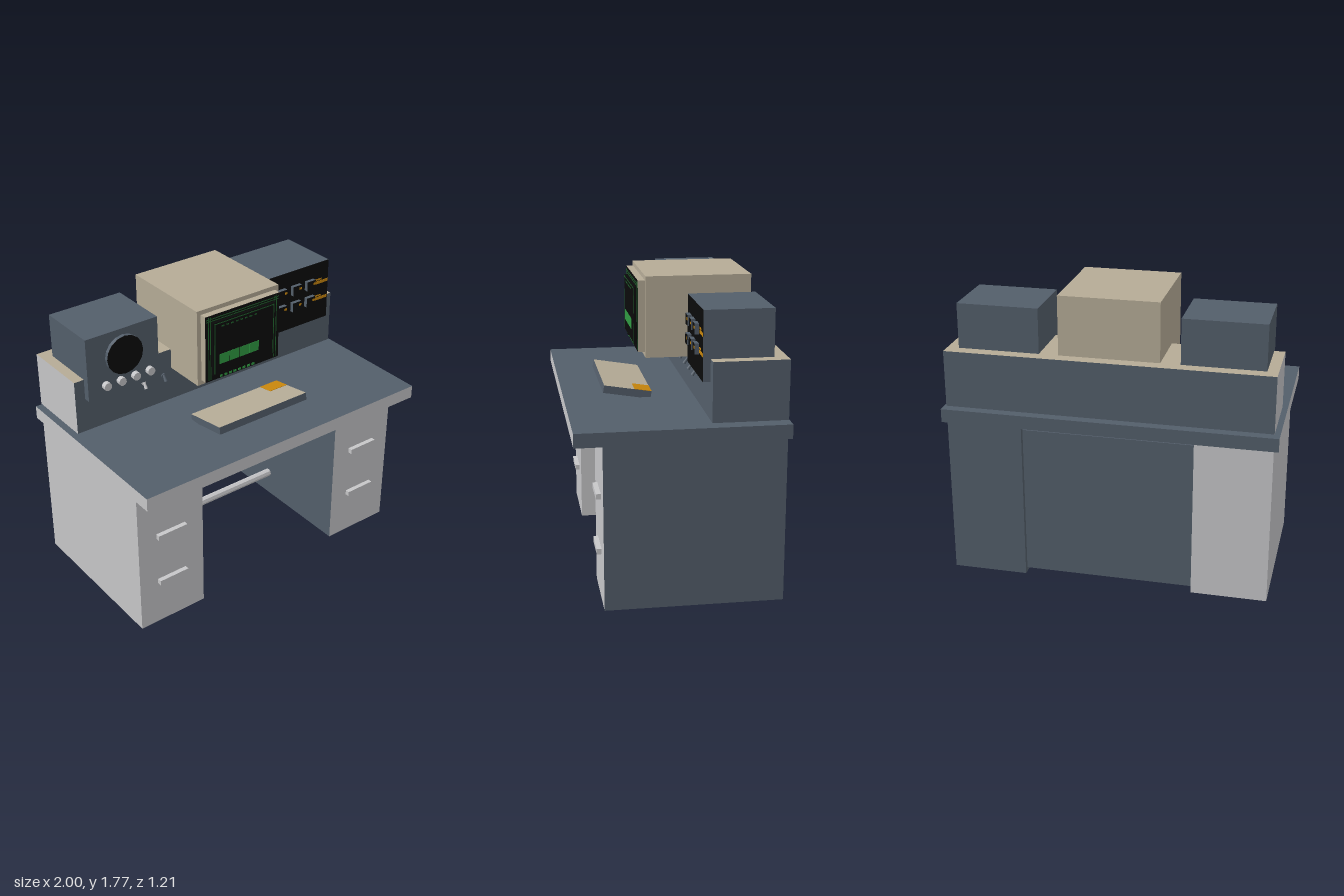
import * as THREE from 'three';

const mat = (name, color) => {
  const m = new THREE.MeshStandardMaterial({ color });
  m.name = name;
  return m;
};

export function createModel() {
  const slate = mat('slate', 0x535e6a);
  const grey = mat('lightGrey', 0xc6c6c8);
  const beige = mat('beige', 0xb5ab96);
  const black = mat('black', 0x0a0a0a);
  const green = mat('green', 0x2f9a42);
  const darkGreen = mat('darkGreen', 0x1c5a28);
  const amber = mat('amber', 0xc8860c);

  const root = new THREE.Group();
  root.name = 'controlDesk';

  const add = (name, geo, material, parent = root) => {
    const m = new THREE.Mesh(geo, material);
    m.name = name;
    parent.add(m);
    return m;
  };
  // Box given by its limits on each axis
  const box = (name, [x0, x1], [y0, y1], [z0, z1], material, parent = root) => {
    const m = add(name, new THREE.BoxGeometry(x1 - x0, y1 - y0, z1 - z0), material, parent);
    m.position.set((x0 + x1) / 2, (y0 + y1) / 2, (z0 + z1) / 2);
    return m;
  };
  // Thin painted rectangle facing the front
  const plate = (name, x, y, w, h, z, material, parent = root) =>
    box(name, [x - w / 2, x + w / 2], [y - h / 2, y + h / 2], [z, z + 0.002], material, parent);
  // Flat-sided disc facing the front
  const disc = (name, x, y, z0, z1, r, sides, material, parent = root) => {
    const g = new THREE.CylinderGeometry(r, r, z1 - z0, sides).toNonIndexed();
    g.computeVertexNormals();
    g.rotateX(Math.PI / 2);
    const m = add(name, g, material, parent);
    m.position.set(x, y, (z0 + z1) / 2);
    return m;
  };
  // Face order: +x, -x, +y, -y, +z, -z
  const blackFront = (side) => [side, side, side, side, black, side];

  // Desk
  box('countertop', [-1, 1], [0.976, 1.058], [-0.605, 0.605], [slate, grey, slate, slate, grey, slate]);
  box('rightPedestal', [-0.97, -0.515], [0, 0.976], [-0.585, 0.445], grey);
  box('leftPedestal', [0.515, 0.97], [0, 0.976], [-0.585, 0.445], blackFront(slate).map((m) => (m === black ? grey : m)));
  box('modestyPanel', [-0.515, 0.515], [0.025, 0.95], [-0.58 + 0.025, -0.525], slate);
  for (const x of [-0.745, 0.74])
    for (const y of [0.305, 0.635])
      box('drawerHandle', [x - 0.1, x + 0.1], [y - 0.016, y + 0.016], [0.445, 0.473], grey);

  // Foot rail
  const railGeo = new THREE.CylinderGeometry(0.026, 0.026, 1.03, 8).toNonIndexed();
  railGeo.computeVertexNormals();
  railGeo.rotateZ(Math.PI / 2);
  add('footRail', railGeo, grey).position.set(0, 0.163, -0.2);

  // Raised console along the back
  box('rearConsole', [-0.97, 0.97], [1.076, 1.418], [-0.587, -0.158], [slate, grey, beige, slate, slate, slate]);

  // Toggle switches, levers hanging down
  for (let i = 0; i < 8; i++) {
    const toggle = new THREE.Group();
    toggle.name = 'toggleSwitch';
    toggle.position.set(-0.503 + i * 0.1428, 1.25, -0.158);
    root.add(toggle);
    const material = i === 0 ? grey : slate;
    disc('toggleCollar', 0, 0.008, 0, 0.008, 0.015, 8, material, toggle);
    const lever = add('toggleLever', new THREE.CylinderGeometry(0.007, 0.011, 0.046, 8), material, toggle);
    lever.position.set(0, -0.003, 0.016);
    lever.rotation.x = Math.PI - 0.0;
    lever.rotation.x = -0.6;
  }

  // Scope unit
  const scope = new THREE.Group();
  scope.name = 'scopeUnit';
  root.add(scope);
  box('scopeCase', [-0.905, -0.418], [1.29, 1.69], [-0.512, -0.115], slate, scope);
  disc('scopeRim', -0.66, 1.53, -0.115, -0.092, 0.122, 16, slate, scope);
  disc('scopeScreen', -0.66, 1.53, -0.092, -0.09, 0.122, 16, black, scope);
  for (let i = 0; i < 4; i++)
    disc('scopeKnob', -0.788 + i * 0.1, 1.362, -0.115, -0.085, 0.026, 10, grey, scope);

  // Button unit
  const panel = new THREE.Group();
  panel.name = 'buttonUnit';
  root.add(panel);
  box('buttonCase', [0.413, 0.9], [1.29, 1.69], [-0.512, -0.115], blackFront(slate), panel);
  for (const y of [1.56, 1.447]) {
    for (const x of [0.51, 0.627, 0.742]) {
      box('pushButton', [x - 0.034, x + 0.034], [y - 0.031, y + 0.031], [-0.115, -0.09], blackFront(slate), panel);
      plate('buttonLamp', x + 0.024, y + 0.008, 0.018, 0.014, -0.09, amber, panel);
    }
    plate('amberReadout', 0.845, y - 0.008, 0.104, 0.02, -0.115, amber, panel);
    plate('amberReadoutTick', 0.82, y + 0.012, 0.05, 0.01, -0.115, amber, panel);
  }

  // Monitor
  const monitor = new THREE.Group();
  monitor.name = 'monitor';
  root.add(monitor);
  box('monitorCase', [-0.3, 0.297], [1.29, 1.775], [-0.512, 0.115], beige, monitor);
  box('monitorBezel', [-0.273, 0.271], [1.32, 1.748], [0.115, 0.157], blackFront(beige), monitor);
  box('monitorScreen', [-0.23, 0.228], [1.36, 1.703], [0.157, 0.175], black, monitor);
  // Screen border lines
  for (const x of [-0.25, -0.236, 0.236, 0.25])
    plate('borderLineUpright', x, 1.533, 0.005, 0.41, 0.157, darkGreen, monitor);
  for (const y of [1.711, 1.725])
    plate('borderLineAcross', 0, y, 0.53, 0.005, 0.157, darkGreen, monitor);
  for (const x of [-0.218, 0.216])
    plate('innerLineUpright', x, 1.533, 0.005, 0.33, 0.175, darkGreen, monitor);
  plate('innerLineAcross', 0, 1.693, 0.44, 0.005, 0.175, darkGreen, monitor);
  // Screen blocks and dashes
  for (let i = 0; i < 4; i++)
    plate('greenBlock', -0.151 + i * 0.0735, 1.458, 0.071, 0.064, 0.175, green, monitor);
  for (let i = 0; i < 8; i++) {
    plate('upperDash', -0.16 + i * 0.034, 1.67, 0.018, 0.008, 0.175, darkGreen, monitor);
    plate('lowerDash', -0.16 + i * 0.034, 1.332, 0.02, 0.014, 0.157, green, monitor);
  }

  // Keyboard, raised at the front edge
  const keyboard = new THREE.Group();
  keyboard.name = 'keyboard';
  keyboard.position.set(0, 1.093, 0.229);
  keyboard.rotation.x = -0.165;
  root.add(keyboard);
  box('keyboardBody', [-0.33, 0.326], [-0.023, 0.023], [-0.143, 0.143], [slate, slate, beige, black, slate, slate], keyboard);
  box('amberKeys', [0.195, 0.326], [0.023, 0.025], [-0.143, -0.04], amber, keyboard);

  return root;
}
